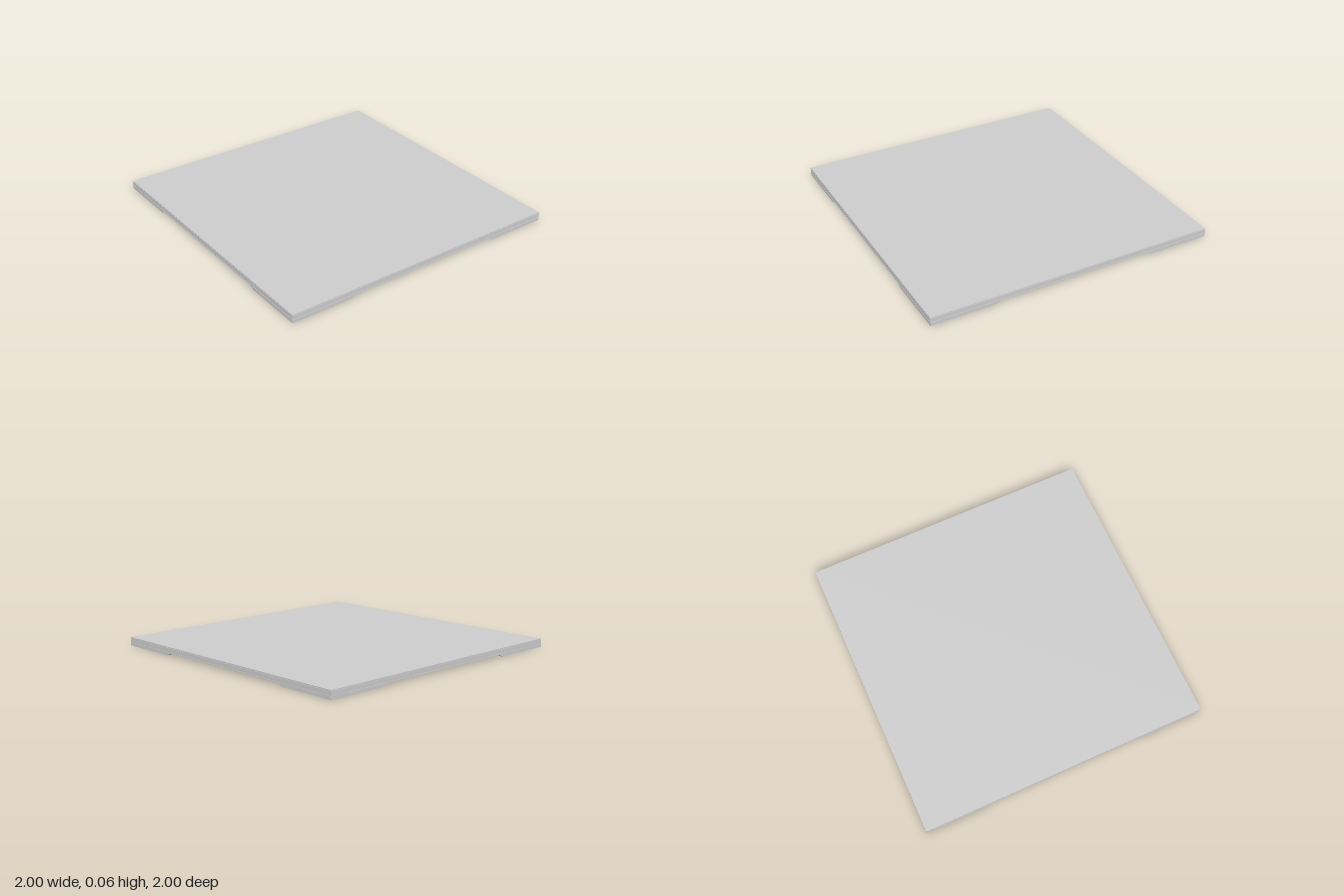
import * as THREE from 'three';

const material = new THREE.MeshStandardMaterial({ color: 0xcccccc, flatShading: true });

// Square layer between two heights
function layer(name, y0, y1, size) {
  const mesh = new THREE.Mesh(new THREE.BoxGeometry(size, y1 - y0, size), material);
  mesh.position.y = (y0 + y1) / 2;
  mesh.name = name;
  return mesh;
}

// Corner foot whose two inner sides slope outward toward the ground
function cornerFoot(sx, sz) {
  const height = 0.016, inner = 0.54, slope = 0.035, width = 1 - inner;
  const geometry = new THREE.BoxGeometry(width, height, width);
  geometry.translate(sx * (inner + width / 2), height / 2, sz * (inner + width / 2));
  const p = geometry.attributes.position;
  for (let i = 0; i < p.count; i++) {
    if (p.getY(i) > height / 2) continue;
    if (Math.abs(p.getX(i)) < 0.7) p.setX(i, sx * (inner + slope));
    if (Math.abs(p.getZ(i)) < 0.7) p.setZ(i, sz * (inner + slope));
  }
  geometry.computeVertexNormals();
  const mesh = new THREE.Mesh(geometry, material);
  mesh.name = 'cornerFoot';
  return mesh;
}

export function createModel() {
  const model = new THREE.Group();
  model.name = 'floorTile';

  // Stacked panel with fine shadow grooves between the layers
  model.add(
    layer('basePlate', 0.016, 0.023, 2),
    layer('lowerGroove', 0.023, 0.026, 1.994),
    layer('corePanel', 0.026, 0.052, 2),
    layer('upperGroove', 0.052, 0.055, 1.994),
    layer('topSheet', 0.055, 0.06, 2)
  );

  // Four feet at the corners
  for (const sx of [-1, 1]) {
    for (const sz of [-1, 1]) model.add(cornerFoot(sx, sz));
  }
  return model;
}
